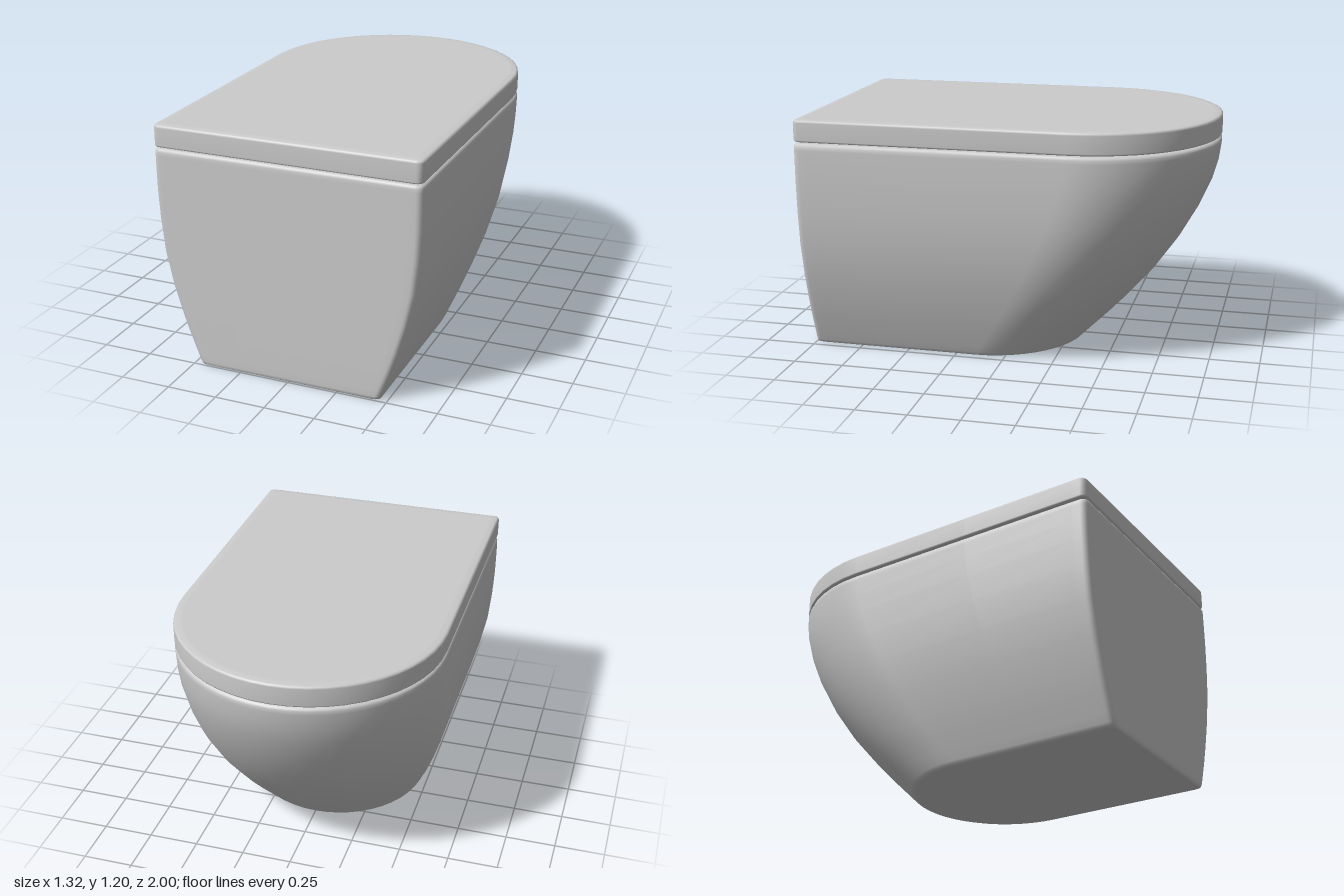
import * as THREE from 'three';

// Closed D-shaped outline: flat front with small rounded corners, semicircular back
function outline(halfWidth, back, front, corner = 0.03) {
  const half = [];
  half.push([halfWidth * 0.5, front], [halfWidth - corner - 0.03, front]);
  for (let i = 0; i <= 4; i++) {
    const a = (i / 4) * Math.PI / 2;
    half.push([halfWidth - corner + Math.sin(a) * corner, front - corner + Math.cos(a) * corner]);
  }
  const centre = back + halfWidth;
  half.push([halfWidth, front - corner - 0.04], [halfWidth, (front + centre) / 2]);
  for (let i = 0; i < 12; i++) {
    const a = (i / 12) * Math.PI / 2;
    half.push([Math.cos(a) * halfWidth, centre - Math.sin(a) * halfWidth]);
  }
  const mirrored = half.map(([x, z]) => [-x, z]).reverse();
  return [[0, front], ...half, [0, back], ...mirrored];
}

// Skin a stack of outlines [y, halfWidth, back, front] and cap both ends
function loft(rows) {
  const rings = rows.map(([y, w, b, f]) => outline(w, b, f).map(([x, z]) => [x, y, z]));
  const n = rings[0].length;
  const positions = rings.flat(2);
  const index = [];
  for (let i = 0; i < rings.length - 1; i++) {
    for (let j = 0; j < n; j++) {
      const k = (j + 1) % n;
      const a = i * n + j, b = i * n + k, c = a + n, d = b + n;
      index.push(a, b, d, a, d, c);
    }
  }
  const cap = (ring, up) => {
    const start = positions.length / 3;
    positions.push(0, ring[0][1], 0.3, ...ring.flat());
    for (let j = 0; j < n; j++) {
      const a = start + 1 + j, b = start + 1 + (j + 1) % n;
      index.push(start, up ? a : b, up ? b : a);
    }
  };
  cap(rings[0], false);
  cap(rings[rings.length - 1], true);
  const geometry = new THREE.BufferGeometry();
  geometry.setAttribute('position', new THREE.Float32BufferAttribute(positions, 3));
  geometry.setIndex(index);
  geometry.computeVertexNormals();
  return geometry;
}

export function createModel() {
  const model = new THREE.Group();
  const material = new THREE.MeshStandardMaterial({ color: 0xcccccc, roughness: 0.5 });
  const add = (name, rows) => {
    const mesh = new THREE.Mesh(loft(rows), material);
    mesh.name = name;
    model.add(mesh);
  };

  // Bowl body, sweeping outwards from a narrow base to the rim
  add('bowl', [
    [0, 0.455, -0.305, 0.99],
    [0.005, 0.465, -0.32, 0.997],
    [0.02, 0.473, -0.335, 1],
    [0.06, 0.488, -0.375, 1],
    [0.15, 0.522, -0.465, 1],
    [0.25, 0.556, -0.56, 1],
    [0.4, 0.6, -0.69, 1],
    [0.57, 0.636, -0.81, 1],
    [0.73, 0.652, -0.9, 1],
    [0.87, 0.659, -0.96, 1],
    [0.97, 0.66, -0.988, 1],
    [1.05, 0.66, -0.999, 1],
    [1.068, 0.659, -0.999, 1],
    [1.079, 0.654, -0.994, 0.996],
    [1.083, 0.642, -0.982, 0.985],
  ]);

  // Flat lid with softened edges, separated from the rim by a thin gap
  add('lid', [
    [1.09, 0.65, -0.99, 0.99],
    [1.093, 0.657, -0.997, 0.997],
    [1.1, 0.66, -1, 1],
    [1.185, 0.66, -1, 1],
    [1.194, 0.657, -0.997, 0.997],
    [1.198, 0.648, -0.988, 0.988],
    [1.2, 0.62, -0.96, 0.96],
  ]);

  return model;
}
